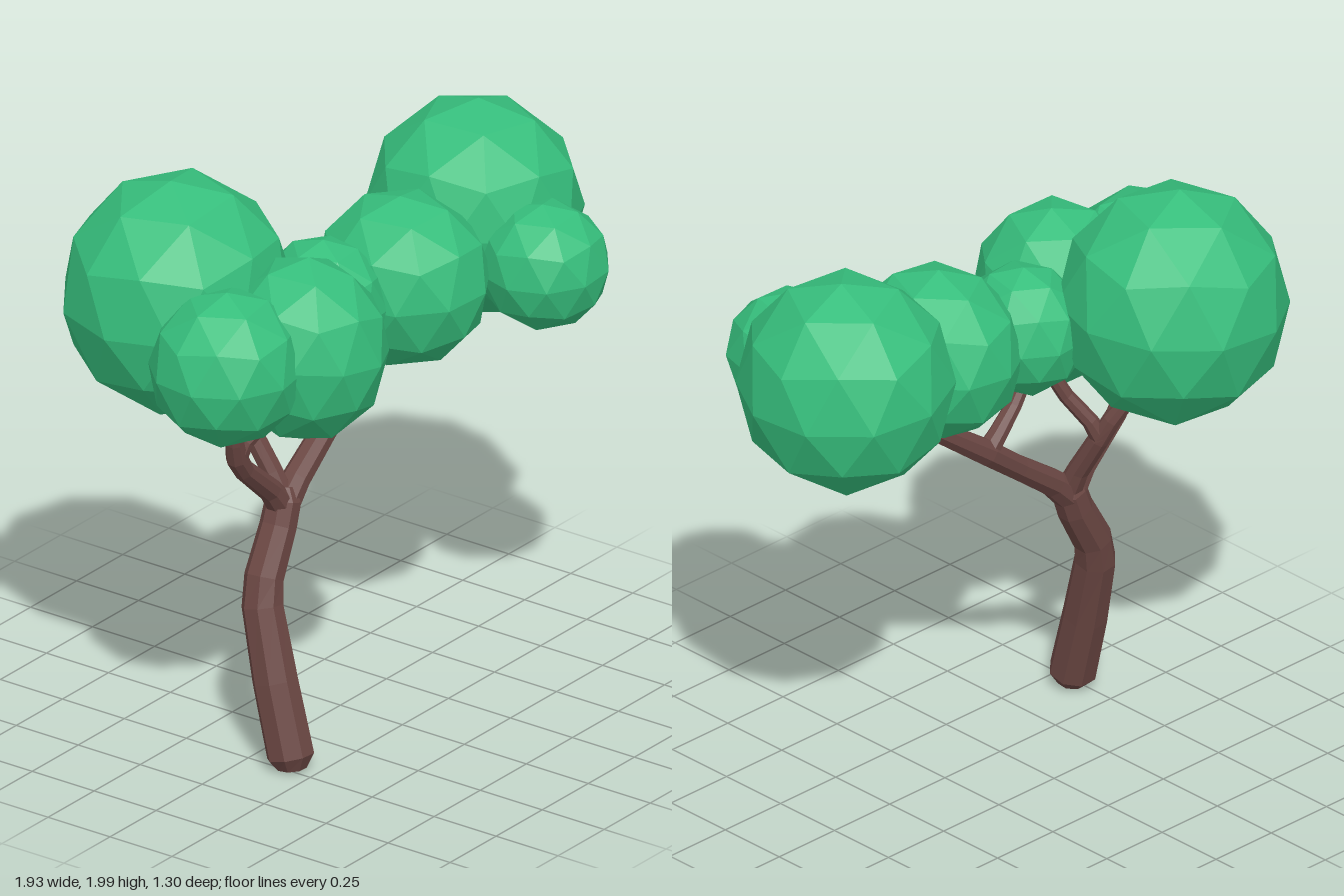
import * as THREE from 'three';

const bark = new THREE.MeshStandardMaterial({ color: 0x6b4743, flatShading: true });
const leaf = new THREE.MeshStandardMaterial({ color: 0x36be7c, flatShading: true });

// Tapered limb lofted through points [x, y, z, radius]
function limb(name, pts, sides = 8) {
  const centres = pts.map(p => new THREE.Vector3(p[0], p[1], p[2]));
  const pos = [], idx = [];
  const n = pts.length;
  const zAxis = new THREE.Vector3(0, 0, 1);
  centres.forEach((c, i) => {
    const t = centres[Math.min(i + 1, n - 1)].clone().sub(centres[Math.max(i - 1, 0)]).normalize();
    const u = new THREE.Vector3().crossVectors(t, zAxis).normalize();
    const v = new THREE.Vector3().crossVectors(t, u);
    for (let j = 0; j < sides; j++) {
      const a = ((j + 0.5) / sides) * Math.PI * 2;
      const p = c.clone().addScaledVector(u, Math.cos(a) * pts[i][3]).addScaledVector(v, Math.sin(a) * pts[i][3]);
      pos.push(p.x, p.y, p.z);
    }
  });
  const first = n * sides, last = first + 1;
  pos.push(...centres[0].toArray(), ...centres[n - 1].toArray());
  for (let j = 0; j < sides; j++) {
    const k = (j + 1) % sides;
    for (let i = 0; i < n - 1; i++) {
      const a = i * sides + j, b = i * sides + k;
      idx.push(a, b, b + sides, a, b + sides, a + sides);
    }
    const e = (n - 1) * sides;
    idx.push(first, k, j, last, e + j, e + k);
  }
  const g = new THREE.BufferGeometry();
  g.setAttribute('position', new THREE.Float32BufferAttribute(pos, 3));
  g.setIndex(idx);
  g.computeVertexNormals();
  const mesh = new THREE.Mesh(g, bark);
  mesh.name = name;
  return mesh;
}

// Faceted leaf ball with a vertex at its top and bottom
function foliage(name, centre, size, spin, tilt = 0) {
  const g = new THREE.IcosahedronGeometry(1, 1);
  g.rotateZ(-Math.atan(2 / (1 + Math.sqrt(5))));
  g.rotateY(spin);
  g.rotateZ(tilt);
  g.scale(...size);
  const mesh = new THREE.Mesh(g, leaf);
  mesh.position.set(...centre);
  mesh.name = name;
  return mesh;
}

export function createModel() {
  const tree = new THREE.Group();
  tree.name = 'tree';

  // Trunk and branches
  const wood = new THREE.Group();
  wood.name = 'wood';
  wood.add(
    limb('trunk', [
      [-0.487, 0.014, 0.165, 0.05], [-0.485, 0.055, 0.16, 0.08], [-0.472, 0.3, 0.088, 0.077],
      [-0.45, 0.54, 0.02, 0.07], [-0.425, 0.63, 0.008, 0.066], [-0.34, 0.78, 0.002, 0.062],
      [-0.31, 0.86, 0, 0.06], [-0.3, 0.905, -0.005, 0.035],
    ]),
    limb('rightBranch', [
      [-0.33, 0.82, 0, 0.055], [-0.24, 0.91, 0, 0.048], [-0.08, 1.03, 0, 0.043],
      [0.06, 1.14, 0, 0.045], [0.25, 1.28, 0.02, 0.038], [0.5, 1.46, 0.06, 0.03],
    ]),
    limb('rightTwig', [[0.07, 1.13, 0, 0.04], [0.01, 1.19, 0, 0.033], [-0.07, 1.26, 0.01, 0.028], [-0.15, 1.36, 0.02, 0.025]]),
    limb('leftBranch', [
      [-0.31, 0.83, 0, 0.05], [-0.38, 0.92, 0, 0.04], [-0.53, 1.05, 0.005, 0.035], [-0.575, 1.11, 0.01, 0.037],
      [-0.6, 1.18, 0.02, 0.032], [-0.615, 1.26, 0.03, 0.028], [-0.64, 1.36, 0.04, 0.025],
    ]),
    limb('leftTwig', [[-0.575, 1.11, 0.01, 0.034], [-0.55, 1.17, 0.03, 0.029], [-0.5, 1.22, 0.06, 0.026], [-0.45, 1.34, 0.11, 0.024]]),
    limb('backBranch', [
      [-0.305, 0.85, 0, 0.045], [-0.31, 0.95, -0.045, 0.037], [-0.325, 1.09, -0.125, 0.035],
      [-0.345, 1.17, -0.165, 0.031], [-0.38, 1.24, -0.2, 0.027], [-0.42, 1.36, -0.25, 0.024],
    ]),
    limb('backTwig', [[-0.325, 1.1, -0.13, 0.033], [-0.3, 1.16, -0.11, 0.028], [-0.25, 1.25, -0.05, 0.026], [-0.2, 1.36, -0.01, 0.024]]),
  );
  tree.add(wood);

  // Leaf balls
  const crown = new THREE.Group();
  crown.name = 'crown';
  crown.add(
    foliage('largeBackFoliage', [-0.5, 1.595, -0.29], [0.385, 0.408, 0.38], 0.3, 0.08),
    foliage('largeRightFoliage', [0.62, 1.59, 0.08], [0.355, 0.372, 0.362], 0.1, -0.06),
    foliage('leftFoliage', [-0.71, 1.505, 0.07], [0.262, 0.265, 0.255], 0.5),
    foliage('frontLeftFoliage', [-0.42, 1.49, 0.165], [0.272, 0.315, 0.285], 0.15, -0.1),
    foliage('middleFoliage', [-0.14, 1.51, 0.035], [0.2, 0.225, 0.22], 0.4),
    foliage('frontFoliage', [0.17, 1.51, 0.125], [0.275, 0.295, 0.3], 0.2, 0.05),
    foliage('smallFrontFoliage', [0.515, 1.515, 0.44], [0.215, 0.217, 0.218], 0.35, 0.05),
  );
  tree.add(crown);
  return tree;
}
